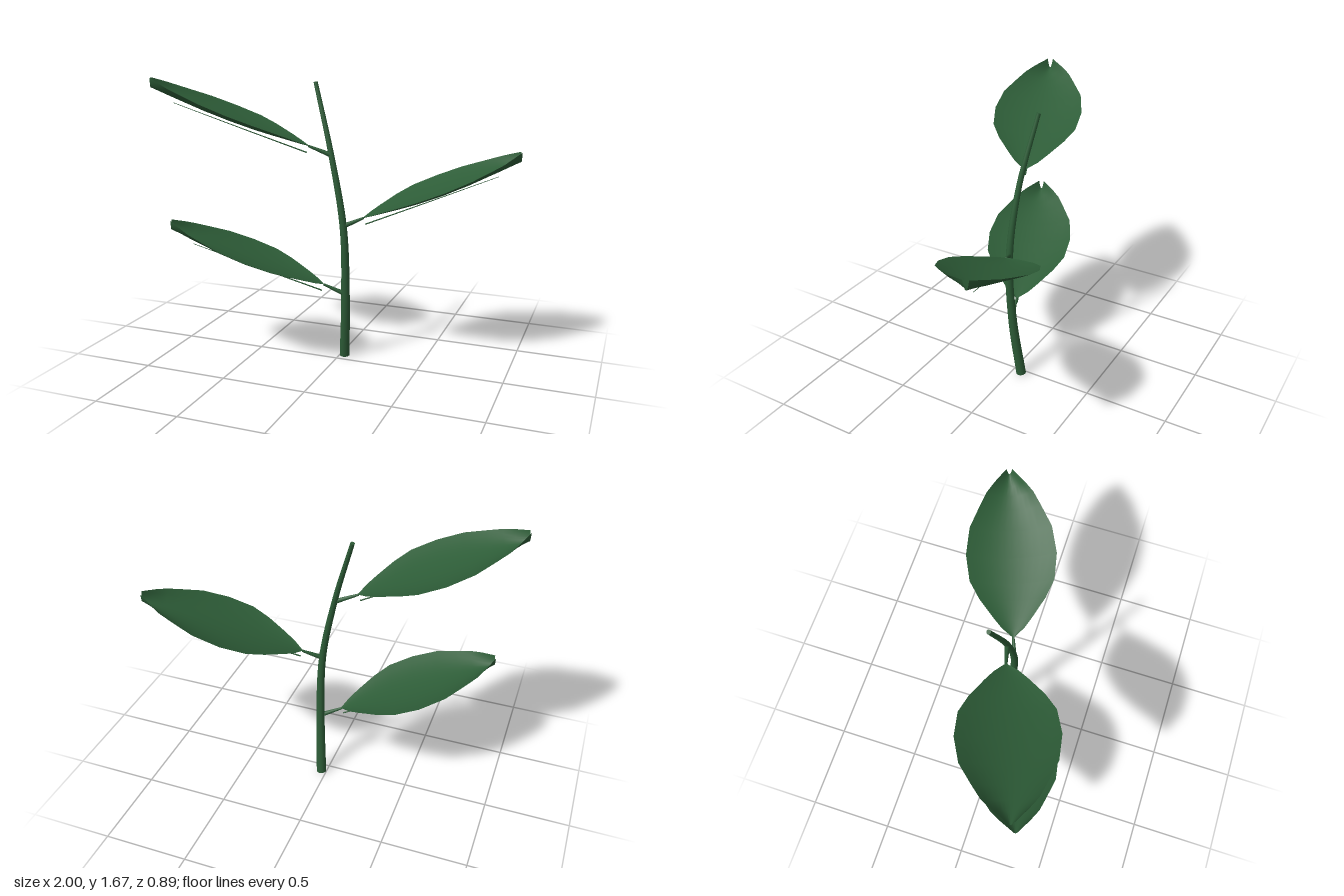
import * as THREE from 'three';

const green = new THREE.MeshStandardMaterial({ color: 0x2d5c37, side: THREE.DoubleSide });
green.name = 'leafGreen';

const V = (x, y, z) => new THREE.Vector3(x, y, z);

// Tapered, capped tube along a smooth curve
function taperedTube(name, points, r0, r1, segments, sides) {
  const path = new THREE.CatmullRomCurve3(points);
  const geo = new THREE.TubeGeometry(path, segments, 1, sides);
  const pos = geo.attributes.position;
  const p = V(0, 0, 0);
  for (let i = 0; i < pos.count; i++) {
    const t = Math.floor(i / (sides + 1)) / segments;
    const c = path.getPointAt(t);
    p.fromBufferAttribute(pos, i).sub(c).multiplyScalar(r0 + (r1 - r0) * t).add(c);
    pos.setXYZ(i, p.x, p.y, p.z);
  }
  const group = new THREE.Group();
  group.name = name;
  group.add(new THREE.Mesh(geo, green));
  [[0, r0, -1], [1, r1, 1]].forEach(([t, r, sign]) => {
    const cap = new THREE.Mesh(new THREE.CircleGeometry(r, sides), green);
    cap.position.copy(path.getPointAt(t));
    cap.lookAt(cap.position.clone().addScaledVector(path.getTangentAt(t), sign));
    group.add(cap);
  });
  group.children.forEach((m) => { m.name = name + 'Surface'; });
  return group;
}

// Blade stations: distance along, half width, centre height, edge height
const SLOPE = 0.372;
const STATIONS = [
  [0, 0.008, 0, 0.004], [0.045, 0.065, -0.002, 0.01], [0.1, 0.113, -0.005, 0.018],
  [0.2, 0.192, -0.01, 0.03], [0.295, 0.245, -0.014, 0.037], [0.435, 0.262, -0.016, 0.04],
  [0.58, 0.237, -0.014, 0.044], [0.69, 0.178, -0.01, 0.046], [0.765, 0.135, -0.007, 0.048],
  [0.82, 0.085, -0.004, 0.052], [0.886, 0.016, 0, 0.055],
];

// Cupped blade whose sides pinch upward at the tip
function bladeGeometry() {
  const across = 12;
  const verts = [], index = [];
  STATIONS.forEach(([s, w, mid, edge], i) => {
    for (let j = 0; j <= across; j++) {
      const v = (j / across) * 2 - 1;
      verts.push(s, SLOPE * s + mid + (edge - mid) * v * v, v * w);
      if (i && j) {
        const d = i * (across + 1) + j, c = d - 1;
        const b = d - across - 1, a = b - 1;
        index.push(a, b, d, a, d, c);
      }
    }
  });
  const geo = new THREE.BufferGeometry();
  geo.setAttribute('position', new THREE.Float32BufferAttribute(verts, 3));
  geo.setIndex(index);
  geo.computeVertexNormals();
  return geo;
}

export function createModel() {
  const model = new THREE.Group();
  model.name = 'leafySprig';

  // Curved main stem
  model.add(taperedTube('stem', [
    V(0.03, 0.005, -0.06), V(0.052, 0.4, -0.012), V(0.046, 0.82, 0.012),
    V(-0.035, 1.24, -0.005), V(-0.15, 1.64, -0.06),
  ], 0.03, 0.012, 32, 12));

  // Three alternating leaves: stalk start, blade base, heading
  const blade = bladeGeometry();
  const heading = 0.34;
  [
    ['lowerLeaf', V(0.045, 0.415, -0.005), V(-0.07, 0.469, 0.03), heading + Math.PI],
    ['middleLeaf', V(0.046, 0.828, 0.012), V(0.155, 0.877, -0.03), heading],
    ['upperLeaf', V(-0.035, 1.235, -0.004), V(-0.16, 1.285, 0.03), heading + Math.PI],
  ].forEach(([name, start, base, turn]) => {
    const leaf = new THREE.Group();
    leaf.name = name;
    leaf.position.copy(base);
    leaf.rotation.y = turn;

    const surface = new THREE.Mesh(blade, green);
    surface.name = 'blade';
    leaf.add(surface);

    // Thin midrib hanging just under the blade
    leaf.add(taperedTube('midrib', [
      V(0.01, -0.037, 0), V(0.38, 0.1, 0), V(0.76, 0.243, 0),
    ], 0.004, 0.0015, 8, 6));
    model.add(leaf);

    // Short leaf stalk
    const middle = start.clone().lerp(base, 0.5);
    model.add(taperedTube(name + 'Stalk', [start, middle, base], 0.015, 0.007, 6, 8));
  });

  return model;
}
